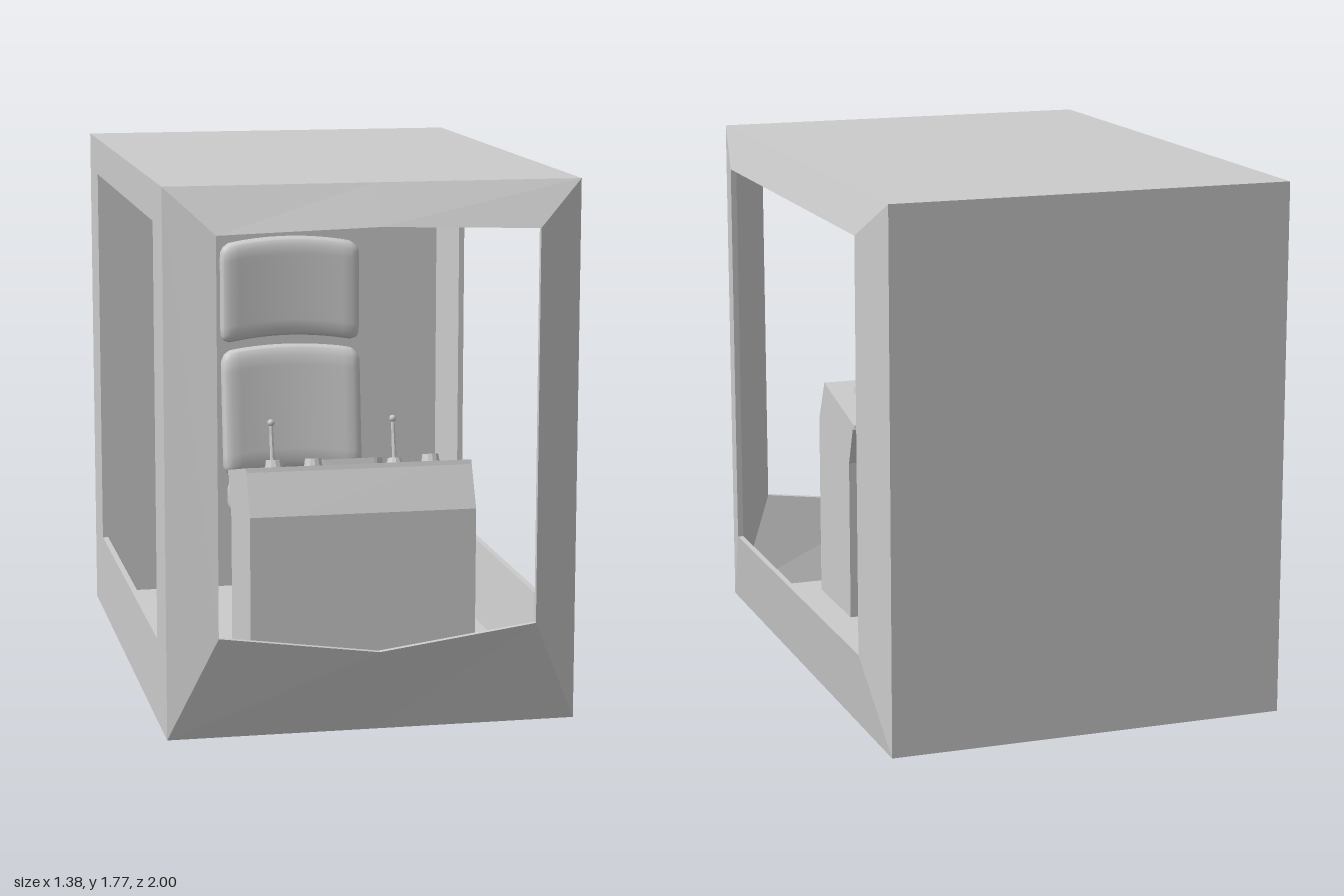
import * as THREE from 'three';
import { mergeVertices } from 'three/addons/utils/BufferGeometryUtils.js';

const MID = -0.02; // centre line of the seat and console
const T = 0.02;    // wall thickness
const BOX = { x0: -0.695, x1: 0.65, y0: 0, y1: 1.775, z0: -1, z1: 0.91 };

const flat = new THREE.MeshStandardMaterial({ color: 0xcccccc, flatShading: true, side: THREE.DoubleSide });
const smooth = new THREE.MeshStandardMaterial({ color: 0xcccccc });

function add(parent, name, geometry, material = flat) {
  const mesh = new THREE.Mesh(geometry, material);
  mesh.name = name;
  parent.add(mesh);
  return mesh;
}

// Box given by its limits
function slab(x0, x1, y0, y1, z0, z1) {
  return new THREE.BoxGeometry(x1 - x0, y1 - y0, z1 - z0)
    .translate((x0 + x1) / 2, (y0 + y1) / 2, (z0 + z1) / 2);
}

// Closed strips between successive loops of points
function loft(loops) {
  const pos = [];
  for (let k = 0; k < loops.length - 1; k++) {
    const a = loops[k], b = loops[k + 1], n = a.length;
    for (let i = 0; i < n; i++) {
      const j = (i + 1) % n;
      for (const p of [a[i], a[j], b[j], a[i], b[j], b[i]]) pos.push(...p);
    }
  }
  const g = new THREE.BufferGeometry();
  g.setAttribute('position', new THREE.Float32BufferAttribute(pos, 3));
  g.computeVertexNormals();
  return g;
}

// Profile in (z, y), extruded along x
function sideExtrude(points, x0, x1) {
  const shape = new THREE.Shape(points.map(([z, y]) => new THREE.Vector2(z, y)));
  return new THREE.ExtrudeGeometry(shape, { depth: x1 - x0, bevelEnabled: false })
    .rotateY(-Math.PI / 2).translate(x1, 0, 0);
}

// Padded block: rounded edges, bowed backwards and arched upwards across its width
function cushion(w, h, d, r, bow, arch) {
  let g = new THREE.BoxGeometry(w, h, d, 16, 12, 8);
  g.deleteAttribute('normal');
  g.deleteAttribute('uv');
  g = mergeVertices(g);
  const p = g.attributes.position, v = new THREE.Vector3(), c = new THREE.Vector3();
  const inner = new THREE.Vector3(w / 2 - r, h / 2 - r, d / 2 - r);
  for (let i = 0; i < p.count; i++) {
    v.fromBufferAttribute(p, i);
    c.copy(v).clamp(inner.clone().negate(), inner);
    v.sub(c).setLength(r).add(c);
    const k = 1 - (2 * v.x / w) ** 2;
    p.setXYZ(i, v.x, v.y + arch * k, v.z - bow * k);
  }
  g.computeVertexNormals();
  return g;
}

function buildCab() {
  const cab = new THREE.Group();
  cab.name = 'cab';
  const { x0, x1, y0, y1, z0, z1 } = BOX;
  add(cab, 'floor', slab(x0, x1, y0, y0 + T, z0, z1));
  add(cab, 'roof', slab(x0, x1, y1 - T, y1, z0, z1));
  add(cab, 'backWall', slab(x0, x1, y0, y1, z0, z0 + T));

  // Side window frames: flat on one side, bulging on the other
  const rect = (x, za, zb, ya, yb) => [[x, ya, zb], [x, ya, za], [x, yb, za], [x, yb, zb]];
  const sideFrame = (x, rimX, s) => {
    const loops = [
      rect(x, z0, z1, y0, y1),
      rect(rimX, -0.78, 0.7, 0.28, 1.645),
      rect(rimX - s * T, -0.78, 0.7, 0.28, 1.645),
      rect(x - s * T, z0 + T, z1 - T, y0 + T, y1 - T),
    ];
    return loft(s > 0 ? loops : loops.map((l) => l.reverse()));
  };
  add(cab, 'leftWindowFrame', sideFrame(x1, 0.69, 1));
  add(cab, 'rightWindowFrame', sideFrame(x0, x0, -1));

  // Front window frame with a peaked sill and header
  const hex = (xa, xb, ya, yb, yMidA, yMidB, z) => [
    [xa, ya, z], [MID, yMidA, z], [xb, ya, z], [xb, yb, z], [MID, yMidB, z], [xa, yb, z]];
  add(cab, 'frontWindowFrame', loft([
    hex(x0, x1, y0, y1, y0, y1, z1),
    hex(-0.54, 0.495, 0.35, 1.63, 0.28, 1.645, 1),
    hex(-0.54, 0.495, 0.35, 1.63, 0.28, 1.645, 1 - T),
    hex(x0 + T, x1 - T, y0 + T, y1 - T, y0 + T, y1 - T, z1 - T),
  ]));
  return cab;
}

function buildSeat() {
  const seat = new THREE.Group();
  seat.name = 'seat';
  const base = cushion(0.52, 0.14, 0.64, 0.055, 0, 0);
  const p = base.attributes.position;
  // Thinner and narrower at the front, slightly higher at the back
  for (let i = 0; i < p.count; i++) {
    const t = p.getZ(i) / 0.32;
    p.setY(i, p.getY(i) * (1 - 0.08 * t) - 0.004 * t);
    p.setX(i, p.getX(i) * (1 - 0.03 * Math.max(t, 0)));
  }
  base.computeVertexNormals();
  add(seat, 'seatCushion', base, smooth).position.set(MID, 0.496, -0.18);

  const back = add(seat, 'backrest', cushion(0.515, 0.46, 0.1, 0.042, 0.025, 0.022), smooth);
  back.position.set(MID, 0.778, -0.535);
  back.rotation.x = -0.11;
  add(seat, 'headrest', cushion(0.515, 0.365, 0.085, 0.038, 0.022, 0.025), smooth)
    .position.set(MID, 1.217, -0.567);

  // Arched pedestal on a flared foot
  add(seat, 'pedestal', sideExtrude([
    [0.02, 0.09], [0.02, 0.43], [-0.37, 0.43], [-0.37, 0.09],
    [-0.32, 0.09], [-0.32, 0.37], [-0.03, 0.37], [-0.03, 0.09]], -0.11, 0.07));
  const foot = new THREE.CylinderGeometry(Math.SQRT1_2, Math.SQRT1_2 * 1.2, 0.08, 4)
    .rotateY(Math.PI / 4).scale(0.18, 1, 0.39);
  add(seat, 'pedestalFoot', foot).position.set(MID, 0.06, -0.175);
  return seat;
}

function buildConsole() {
  const desk = new THREE.Group();
  desk.name = 'controlConsole';
  // Body: two legs joined by a centre section with a knee recess
  const top = [[0.775, 0.685], [0.71, 0.82], [0.355, 0.74], [0.405, 0.6]];
  const leg = [[0.775, T], ...top, [0.405, T]];
  const centre = [[0.775, T], ...top, [0.405, 0.48], [0.7, 0.48], [0.7, T]];
  add(desk, 'consoleRightLeg', sideExtrude(leg, -0.4, -0.27));
  add(desk, 'consoleLeftLeg', sideExtrude(leg, 0.22, 0.35));
  add(desk, 'consoleCentre', sideExtrude(centre, -0.27, 0.22));
  add(desk, 'consoleTop', sideExtrude(
    [[0.71, 0.818], [0.705, 0.835], [0.34, 0.755], [0.335, 0.74], [0.355, 0.738]], -0.4, 0.35));

  // Controls stand square to the sloping top
  const controls = new THREE.Group();
  controls.name = 'controls';
  controls.position.set(0, 0.755, 0.34);
  controls.rotation.x = -0.216;
  desk.add(controls);
  for (const x of [-0.29, -0.16, 0.235]) {
    add(controls, 'knob', new THREE.CylinderGeometry(0.027, 0.031, 0.025, 12)).position.set(x, 0.012, 0.275);
  }

  const plate = new THREE.Shape();
  plate.absarc(0.085, 0, 0.035, -Math.PI / 2, Math.PI / 2);
  plate.absarc(-0.085, 0, 0.035, Math.PI / 2, Math.PI * 1.5);
  add(controls, 'switchPlate', new THREE.ExtrudeGeometry(plate, { depth: 0.02, bevelEnabled: false, curveSegments: 5 })
    .rotateX(-Math.PI / 2)).position.set(-0.03, 0, 0.19);

  for (const x of [-0.27, 0.145]) {
    const lever = new THREE.Group();
    lever.name = 'lever';
    lever.position.set(x, 0, 0.13);
    add(lever, 'leverBase', new THREE.CylinderGeometry(0.022, 0.028, 0.018, 12)).position.y = 0.009;
    add(lever, 'leverRod', new THREE.CylinderGeometry(0.006, 0.008, 0.14, 8)).position.y = 0.08;
    add(lever, 'leverBall', new THREE.SphereGeometry(0.012, 10, 8), smooth).position.y = 0.15;
    controls.add(lever);
  }
  return desk;
}

export function createModel() {
  const model = new THREE.Group();
  model.name = 'operatorCab';
  model.add(buildCab(), buildSeat(), buildConsole());
  return model;
}
